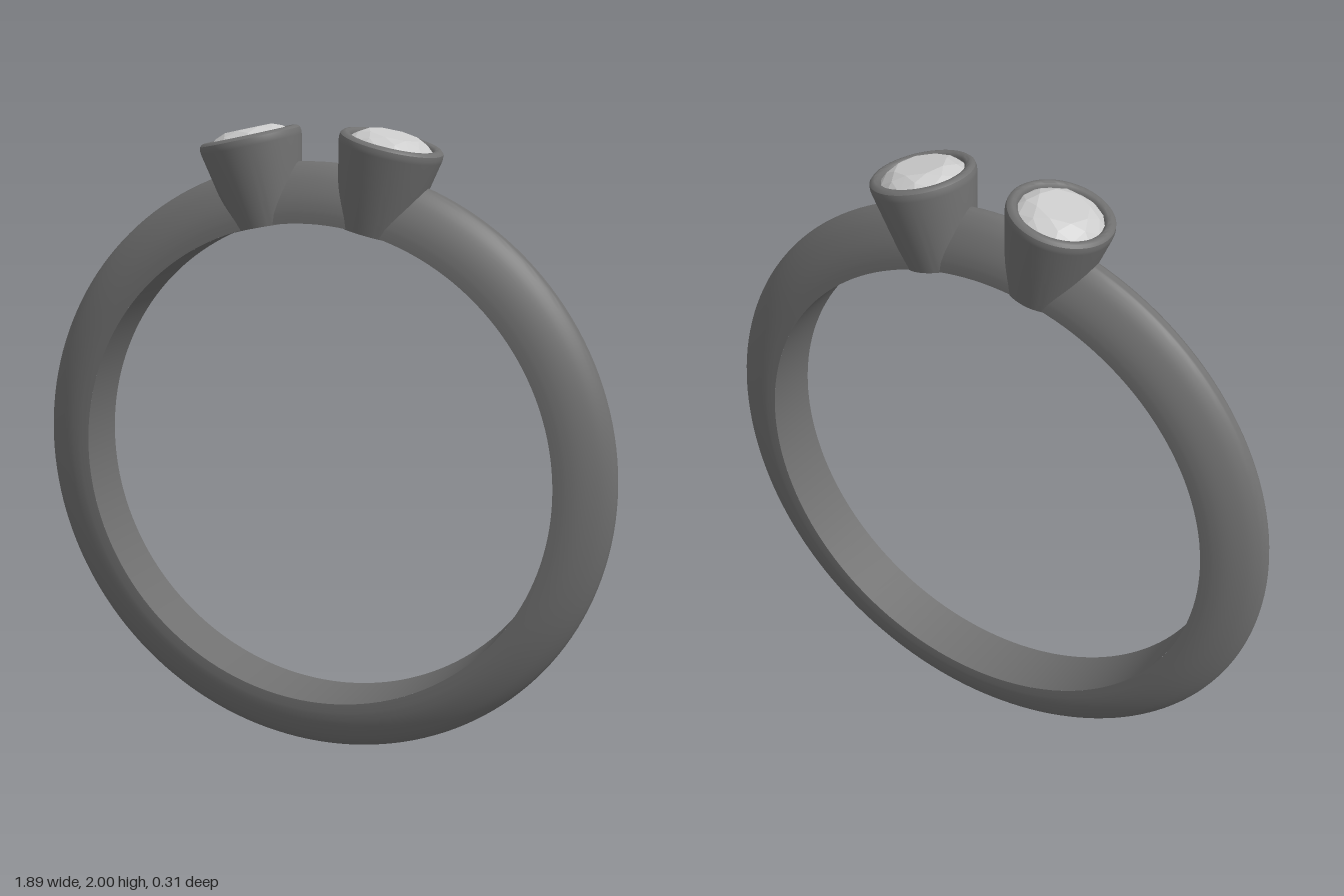
import * as THREE from 'three';
import { mergeGeometries, mergeVertices, toCreasedNormals } from 'three/addons/utils/BufferGeometryUtils.js';
import { ConvexGeometry } from 'three/addons/geometries/ConvexGeometry.js';

const CENTRE_Y = 0.945; // height of the ring's centre
const INNER_R = 0.77;
const HALF_W = 0.092; // half the band's width
const TILT = 0.222; // angle of each setting from the top
const HOLE_R = 0.053;

const metal = new THREE.MeshStandardMaterial({ color: 0x707070 });
const stone = new THREE.MeshStandardMaterial({ color: 0xcccccc });

const v2 = (list) => list.map(([x, y]) => new THREE.Vector2(x, y));

function mesh(name, geometry, material) {
  const m = new THREE.Mesh(geometry, material);
  m.name = name;
  return m;
}

// Outer band: flat sides rising into a pointed arch
function bandGeometry() {
  const arch = new THREE.SplineCurve(v2([
    [0.8, 0.092], [0.83, 0.087], [0.86, 0.077], [0.89, 0.062],
    [0.915, 0.045], [0.935, 0.024], [0.943, 0.01], [0.945, 0],
  ])).getPoints(16);
  const upper = [...arch.reverse(), new THREE.Vector2(INNER_R, HALF_W)];
  const lower = upper.slice(1).reverse().map((p) => new THREE.Vector2(p.x, -p.y));
  const g = new THREE.LatheGeometry([...lower, ...upper], 160);
  g.rotateX(Math.PI / 2);
  return toCreasedNormals(g, 0.6);
}

// Roll a flat sheet (x along the band, y across it) into the finger hole
function wrap(geometry, startAngle) {
  const p = geometry.attributes.position;
  for (let i = 0; i < p.count; i++) {
    const a = startAngle + p.getX(i) / INNER_R;
    p.setXYZ(i, INNER_R * Math.sin(a), INNER_R * Math.cos(a), p.getY(i));
  }
  return geometry;
}

// Square sheet with a round hole, placed beneath a setting
function piercedPatch(angle) {
  const inner = HOLE_R + 0.012;
  const g = new THREE.RingGeometry(inner, HALF_W, 64, 4);
  const p = g.attributes.position;
  for (let i = 0; i < p.count; i++) {
    const x = p.getX(i), y = p.getY(i), r = Math.hypot(x, y);
    const square = r / Math.max(Math.abs(x), Math.abs(y));
    const s = 1 + (square - 1) * (r - inner) / (HALF_W - inner);
    p.setXY(i, x * s, y * s);
  }
  return wrap(g, angle);
}

function innerGeometry() {
  const half = HALF_W / INNER_R;
  const arc = (from, to, n) =>
    wrap(new THREE.PlaneGeometry((to - from) * INNER_R, HALF_W * 2, n, 1), (from + to) / 2);
  const g = mergeGeometries([
    arc(-TILT + half, TILT - half, 12),
    arc(TILT + half, Math.PI * 2 - TILT - half, 150),
    piercedPatch(TILT),
    piercedPatch(-TILT),
  ]);
  g.deleteAttribute('normal');
  g.deleteAttribute('uv');
  const smooth = mergeVertices(g, 1e-5);
  smooth.computeVertexNormals();
  return smooth;
}

// Hollow tapered cup, its foot curved to follow the finger hole
function bezelGeometry() {
  const foot = INNER_R - 0.002;
  const g = new THREE.LatheGeometry(v2([
    [HOLE_R, foot], [0.08, foot], [0.106, foot],
    [0.156, 1.012], [0.157, 1.022], [0.155, 1.034], [0.148, 1.041],
    [0.14, 1.043], [0.131, 1.041], [0.125, 1.035], [0.122, 1.025],
    [0.12, 1.01], [HOLE_R, 0.88], [HOLE_R, foot],
  ]), 64);
  const p = g.attributes.position;
  for (let i = 0; i < p.count; i++) {
    if (p.getY(i) < foot + 0.001) p.setY(i, Math.sqrt(foot * foot - p.getX(i) ** 2));
  }
  return toCreasedNormals(g, 0.6);
}

// Round brilliant cut: table, crown, girdle, pavilion and point
function gemGeometry() {
  const points = [new THREE.Vector3(0, 0.925, 0)];
  const tier = (n, r, y, turn = 0) => {
    for (let i = 0; i < n; i++) {
      const a = (i + turn) / n * Math.PI * 2;
      points.push(new THREE.Vector3(r * Math.cos(a), y, r * Math.sin(a)));
    }
  };
  tier(8, 0.078, 1.06);
  tier(8, 0.104, 1.048, 0.5);
  tier(16, 0.124, 1.03);
  tier(16, 0.124, 1.022);
  tier(8, 0.06, 0.968, 0.5);
  return new ConvexGeometry(points);
}

export function createModel() {
  const model = new THREE.Group();
  model.name = 'ring';

  const ring = new THREE.Group();
  ring.name = 'ringBody';
  ring.position.y = CENTRE_Y;
  model.add(ring);

  ring.add(mesh('band', bandGeometry(), metal));
  ring.add(mesh('bandInside', innerGeometry(), metal));

  // Two settings pointing away from the ring's centre
  const bezel = bezelGeometry();
  const gem = gemGeometry();
  for (const side of [1, -1]) {
    const setting = new THREE.Group();
    setting.name = side > 0 ? 'leftSetting' : 'rightSetting';
    setting.add(mesh('bezel', bezel, metal), mesh('gem', gem, stone));
    setting.rotation.z = -side * TILT;
    ring.add(setting);
  }
  return model;
}
